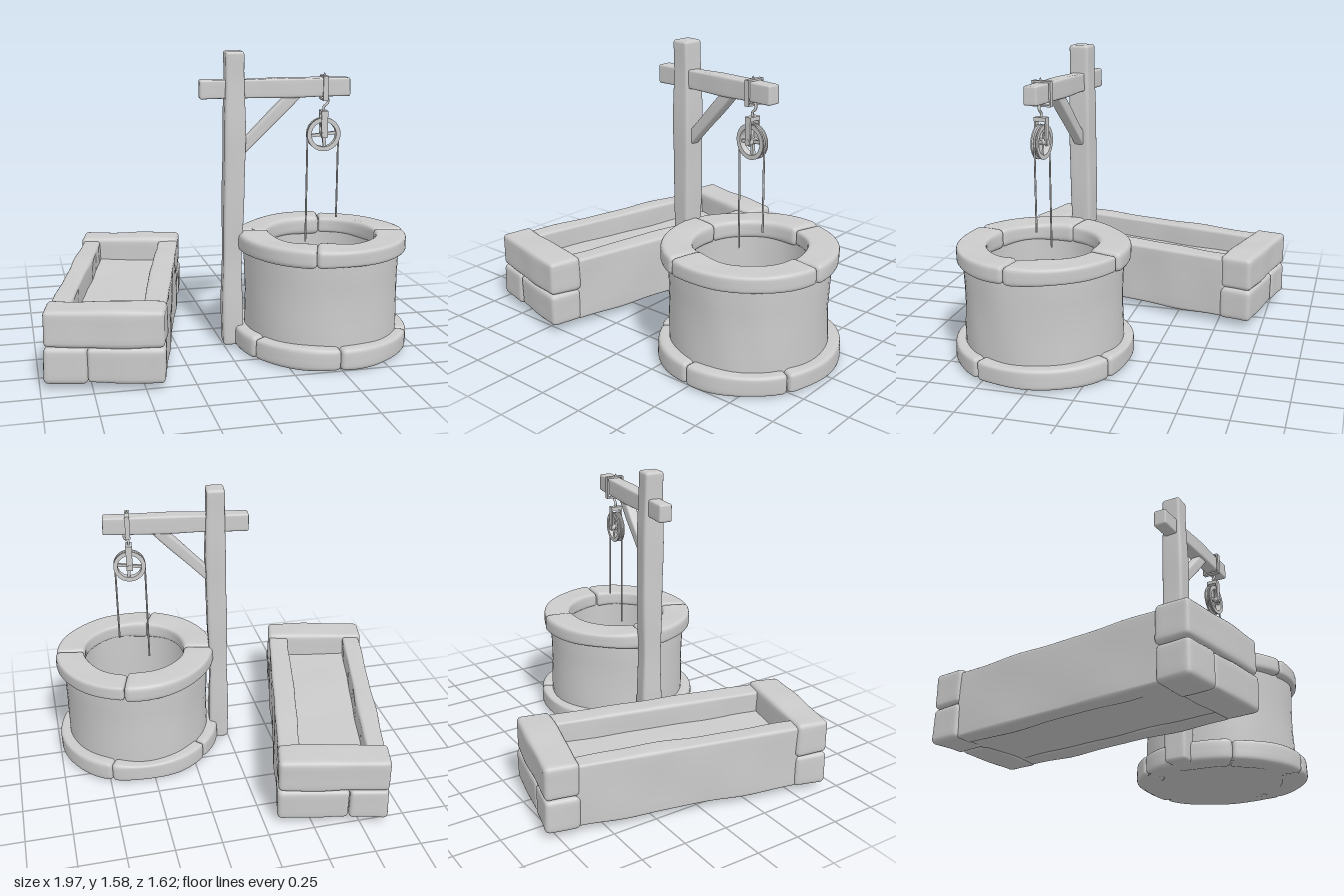
import * as THREE from 'three';
import { mergeVertices, toCreasedNormals } from 'three/addons/utils/BufferGeometryUtils.js';

const material = new THREE.MeshStandardMaterial({ color: 0xcccccc });

// Smooth, repeatable unevenness for hand-hewn surfaces
const wave = (x, y, z, s) =>
  Math.sin(x * 11 + s * 1.7 + 2 * Math.sin(z * 5 + s)) * 0.5 +
  Math.sin(y * 13 + z * 9 + s * 2.3) * 0.3 + Math.sin(x * 23 - z * 19 + y * 7 + s) * 0.2;

// Apply a rule to each vertex, then rebuild the normals
function warp(geometry, rule) {
  const p = geometry.attributes.position;
  const v = new THREE.Vector3();
  for (let i = 0; i < p.count; i++) {
    rule(v.fromBufferAttribute(p, i));
    p.setXYZ(i, v.x, v.y, v.z);
  }
  geometry.deleteAttribute('uv');
  geometry.deleteAttribute('normal');
  const merged = mergeVertices(geometry, 1e-5);
  merged.computeVertexNormals();
  return merged;
}

// Box with worn round edges and uneven faces
function hewn(w, h, d, r, amount, seed, segs = [10, 10, 10], bend = null) {
  const size = [w, h, d];
  const half = size.map((s) => s / 2 - r);
  return warp(new THREE.BoxGeometry(w, h, d, ...segs), (v) => {
    const a = v.toArray().map((c, k) => {
      const n = segs[k];
      const i = Math.round((c / size[k] + 0.5) * n);
      if (i <= 2) return -size[k] / 2 + (r * i) / 2;
      if (i >= n - 2) return size[k] / 2 - (r * (n - i)) / 2;
      return -half[k] + ((i - 2) / (n - 4)) * 2 * half[k];
    });
    const core = new THREE.Vector3(...a.map((c, k) => THREE.MathUtils.clamp(c, -half[k], half[k])));
    const out = new THREE.Vector3(...a).sub(core).normalize();
    v.copy(core).addScaledVector(out, r + amount * wave(core.x, core.y, core.z, seed));
    if (bend) bend(v);
  });
}

function add(parent, name, geometry, x = 0, y = 0, z = 0) {
  const mesh = new THREE.Mesh(geometry, material);
  mesh.name = name;
  mesh.position.set(x, y, z);
  parent.add(mesh);
  return mesh;
}

// Ring of curved stones between the given joint angles
function stoneRing(parent, name, inner, outer, y0, y1, joints, seed) {
  const mid = (inner + outer) / 2;
  joints.forEach((start, i) => {
    const end = i + 1 < joints.length ? joints[i + 1] : joints[0] + Math.PI * 2;
    const centre = (start + end) / 2;
    const geometry = hewn(outer - inner, y1 - y0, (end - start) * mid - 0.002, 0.022, 0.008,
      seed + i * 3, [8, 7, 22], (v) => {
        const a = centre + v.z / mid;
        const r = mid + v.x;
        v.set(r * Math.cos(a), v.y, r * Math.sin(a));
      });
    add(parent, name, geometry, 0, (y0 + y1) / 2, 0);
  });
}

function buildWell() {
  const well = new THREE.Group();
  well.name = 'well';
  well.position.set(0.525, 0, 0.305);
  // Shaft with outer wall, inner wall, floor and underside
  const profile = [[0, 0.008], [0.44, 0.008], [0.44, 0.07], [0.408, 0.075], [0.408, 0.2], [0.405, 0.3],
    [0.408, 0.42], [0.412, 0.56], [0.41, 0.59], [0.298, 0.59], [0.298, 0.4], [0.298, 0.25],
    [0.298, 0.1], [0, 0.1]].map(([x, y]) => new THREE.Vector2(x, y));
  const shaft = warp(new THREE.LatheGeometry(profile, 56), (v) => {
    const r = Math.hypot(v.x, v.z);
    if (r < 0.01) return;
    const k = 1 + (0.007 * wave(v.x, v.y, v.z, 4)) / r;
    v.x *= k;
    v.z *= k;
  });
  add(well, 'shaft', toCreasedNormals(shaft, 0.7));
  stoneRing(well, 'rimStone', 0.285, 0.448, 0.53, 0.622, [0.12, 1.95, 3.35, 4.98], 2);
  stoneRing(well, 'baseStone', 0.33, 0.467, 0.005, 0.115, [0.5, 1.65, 2.7, 3.9, 5.2], 9);
  return well;
}

function buildTrough() {
  const trough = new THREE.Group();
  trough.name = 'trough';
  trough.position.set(-0.525, 0, -0.005);
  trough.rotation.y = -0.23;
  // Long walls and raised floor
  add(trough, 'longWall', hewn(0.105, 0.35, 1.22, 0.018, 0.007, 3, [7, 10, 28]), -0.23, 0.21, 0);
  add(trough, 'longWall', hewn(0.12, 0.35, 1.22, 0.018, 0.007, 8, [7, 10, 28]), 0.23, 0.21, 0);
  add(trough, 'floor', hewn(0.42, 0.225, 1.24, 0.01, 0.004, 5, [10, 6, 24]), 0, 0.155, 0);
  // End stones: one above, two below
  for (const s of [-1, 1]) {
    const z = s * 0.677;
    add(trough, 'upperEndStone', hewn(0.59, 0.19, 0.185, 0.028, 0.007, 6 + s, [18, 9, 9]), 0, 0.308, z);
    add(trough, 'lowerEndStone', hewn(0.21, 0.18, 0.18, 0.025, 0.006, 11 + s, [9, 9, 9]), -0.188, 0.125, z);
    add(trough, 'lowerEndStone', hewn(0.38, 0.18, 0.18, 0.025, 0.006, 15 + s, [14, 9, 9]), 0.104, 0.125, z);
  }
  return trough;
}

function buildPulley() {
  const pulley = new THREE.Group();
  pulley.name = 'pulley';
  pulley.position.set(0.475, 1.14, 0.008);
  // Grooved wheel
  const groove = [[0.066, -0.018], [0.089, -0.018], [0.089, -0.011], [0.079, -0.004], [0.079, 0.004],
    [0.089, 0.011], [0.089, 0.018], [0.066, 0.018], [0.066, -0.018]].map(([x, y]) => new THREE.Vector2(x, y));
  const wheel = toCreasedNormals(new THREE.LatheGeometry(groove, 24), 0.5).rotateX(Math.PI / 2);
  add(pulley, 'wheel', wheel);
  for (let i = 0; i < 2; i++) {
    add(pulley, 'spoke', new THREE.BoxGeometry(0.14, 0.016, 0.016)).rotation.z = (i * Math.PI) / 2 + 0.12;
  }
  add(pulley, 'axle', new THREE.CylinderGeometry(0.016, 0.016, 0.072, 12).rotateX(Math.PI / 2));
  // Fork holding the wheel
  for (const s of [-1, 1]) {
    add(pulley, 'forkSide', new THREE.BoxGeometry(0.034, 0.135, 0.008), 0, 0.05, s * 0.029);
  }
  add(pulley, 'forkTop', new THREE.BoxGeometry(0.036, 0.02, 0.066), 0, 0.115, 0);
  // Hook between fork and strap
  const hookPath = new THREE.CatmullRomCurve3([[0, 0.12], [0, 0.145], [0.02, 0.165], [0.018, 0.19],
    [0, 0.197], [-0.014, 0.182]].map(([x, y]) => new THREE.Vector3(x, y, 0)));
  add(pulley, 'hook', new THREE.TubeGeometry(hookPath, 20, 0.007, 8));
  // Strap around the beam, with a pin on top
  for (const s of [-1, 1]) {
    add(pulley, 'strapSide', new THREE.BoxGeometry(0.026, 0.125, 0.009), 0, 0.243, -0.008 + s * 0.047);
    add(pulley, 'strapEnd', new THREE.BoxGeometry(0.026, 0.009, 0.1), 0, 0.243 + s * 0.06, -0.008);
  }
  add(pulley, 'pin', new THREE.ConeGeometry(0.013, 0.03, 8), 0, 0.31, 0);
  // Ropes, the left one reaching into the shaft
  for (const [x, end] of [[-0.084, 0.56], [0.08, 0.69]]) {
    const length = 1.14 - end;
    add(pulley, 'rope', new THREE.CylinderGeometry(0.005, 0.005, length, 8), x, -length / 2, 0);
  }
  add(pulley, 'ropeOverWheel', new THREE.TorusGeometry(0.082, 0.005, 8, 24, Math.PI));
  return pulley;
}

function buildHoist() {
  const hoist = new THREE.Group();
  hoist.name = 'hoist';
  hoist.position.set(0.055, 0, 0.236);
  hoist.rotation.y = -0.123;
  // Post, leaning and tapering slightly
  add(hoist, 'post', hewn(0.108, 1.575, 0.118, 0.018, 0.006, 1, [8, 40, 8], (v) => {
    const k = 1 + 0.05 * Math.sin(v.y * 6);
    v.x = v.x * k + 0.005 * Math.sin(v.y * 4);
    v.z *= k;
  }), 0, 0.79, 0);
  add(hoist, 'beam', hewn(0.79, 0.1, 0.078, 0.012, 0.004, 7, [28, 8, 8]), 0.215, 1.385, 0).rotation.z = 0.012;
  // Diagonal brace from post to beam
  add(hoist, 'brace', hewn(0.47, 0.06, 0.055, 0.01, 0.003, 12, [18, 7, 7]), 0.175, 1.205, 0).rotation.z = 0.79;
  hoist.add(buildPulley());
  return hoist;
}

export function createModel() {
  const model = new THREE.Group();
  model.name = 'wellWithTrough';
  model.add(buildWell(), buildTrough(), buildHoist());
  return model;
}
